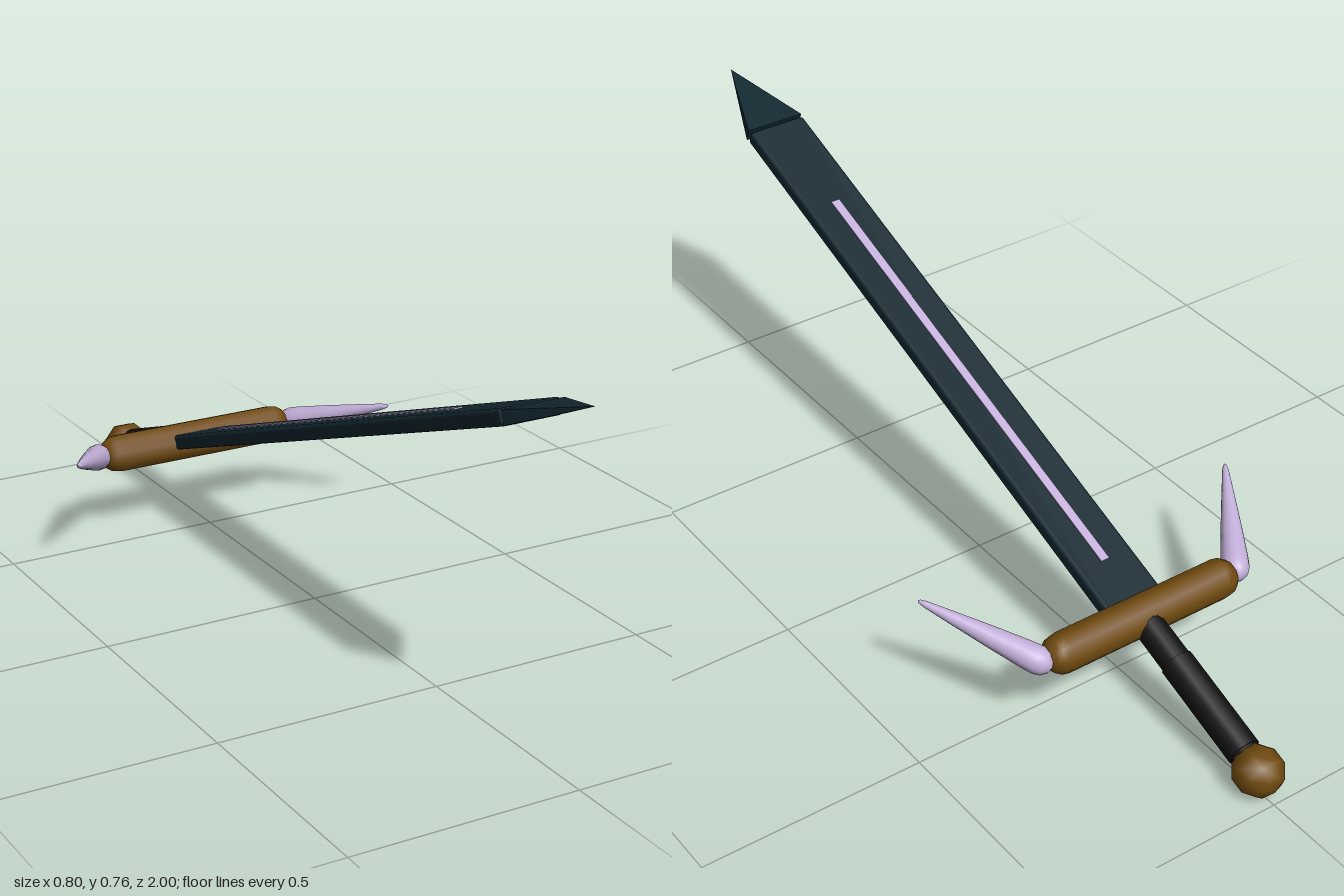
import * as THREE from 'three';
import { RoundedBoxGeometry } from 'three/addons/geometries/RoundedBoxGeometry.js';

function material(name, color) {
  const m = new THREE.MeshStandardMaterial({ color });
  m.name = name;
  return m;
}

export function createModel() {
  const steel = material('darkTealSteel', 0x11272f);
  const gold = material('agedGold', 0x704a10);
  const horn = material('paleLavender', 0xc4b0da);
  const leather = material('blackLeather', 0x111111);

  const model = new THREE.Group();
  model.name = 'sword';

  // Sword frame: y runs from hilt to tip, with the guard at the origin
  const sword = new THREE.Group();
  sword.name = 'tiltedSword';
  sword.rotation.x = THREE.MathUtils.degToRad(70);
  sword.position.set(0, 0.193, -0.57);
  model.add(sword);

  function add(name, geometry, mat, y = 0, parent = sword) {
    const mesh = new THREE.Mesh(geometry, mat);
    mesh.name = name;
    mesh.position.y = y;
    parent.add(mesh);
    return mesh;
  }

  // Blade with softened edges
  add('blade', new RoundedBoxGeometry(0.14, 1.467, 0.034, 2, 0.009), steel, 0.7335);

  // Flattened pyramid tip
  const tip = new THREE.ConeGeometry(Math.SQRT2, 1, 4)
    .rotateY(Math.PI / 4)
    .scale(0.07, 0.198, 0.015)
    .toNonIndexed();
  tip.computeVertexNormals();
  add('bladeTip', tip, steel, 1.571);

  // Inlay strip showing on both faces
  add('bladeInlay', new THREE.BoxGeometry(0.02, 1.07, 0.039), horn, 0.672);

  // Crossguard
  add('crossguard', new THREE.CapsuleGeometry(0.044, 0.4, 4, 10).rotateZ(Math.PI / 2), gold);

  // Mirrored horns sweeping from the guard ends towards the tip
  const profile = [
    [0, -0.028], [0.015, -0.024], [0.026, -0.012], [0.03, 0.004], [0.029, 0.03],
    [0.023, 0.1], [0.014, 0.19], [0.007, 0.255], [0.004, 0.268], [0, 0.272],
  ].map(([r, y]) => new THREE.Vector2(r, y));
  const hornGeometry = new THREE.LatheGeometry(profile, 14);
  for (const [name, side] of [['leftHorn', 1], ['rightHorn', -1]]) {
    const mesh = add(name, hornGeometry, horn, 0.004);
    mesh.position.x = side * 0.252;
    mesh.rotation.z = -side * 0.565;
  }

  // Grip with a slightly thicker wrapped middle
  add('grip', new THREE.CylinderGeometry(0.033, 0.033, 0.37, 16), leather, -0.19);
  add('gripWrap', new THREE.CylinderGeometry(0.036, 0.036, 0.23, 16), leather, -0.24);

  // Faceted pommel
  add('pommel', new THREE.SphereGeometry(0.055, 8, 5).rotateY(Math.PI / 8), gold, -0.402);

  return model;
}
